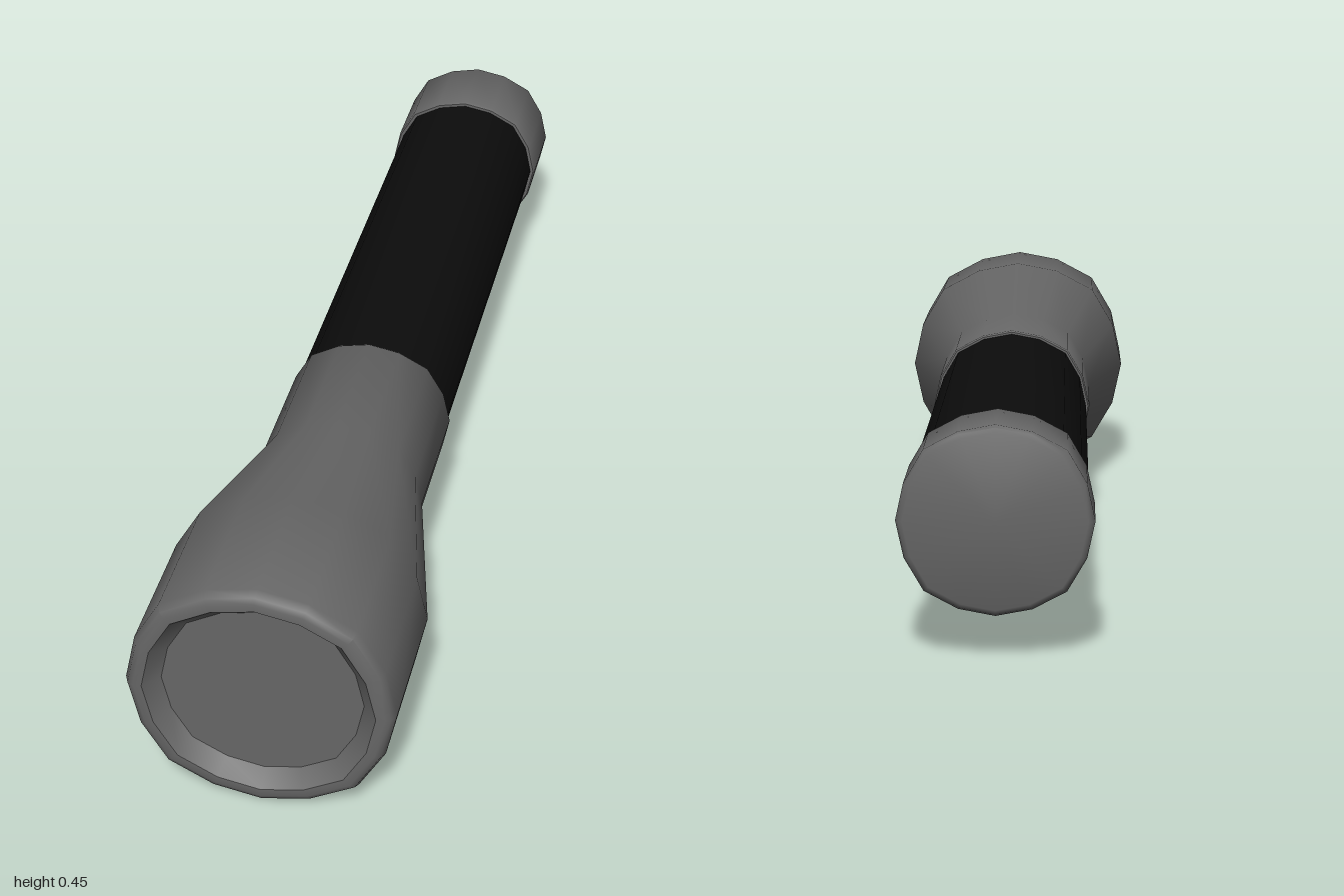
import * as THREE from 'three';
import { toCreasedNormals } from 'three/addons/utils/BufferGeometryUtils.js';

const SIDES = 16;
// Radius factors over a quarter turn, from the x axis to the y axis
const FACTORS = [1, 0.993, 1.017, 0.977, 0.974];

// Turned part lying along z; profile is [radius, z] pairs from back to front
function turned(name, profile, material) {
  const points = profile.map(([r, z]) => new THREE.Vector2(r, z));
  const geometry = new THREE.LatheGeometry(points, SIDES).rotateX(Math.PI / 2);
  const pos = geometry.attributes.position;
  for (let i = 0; i < pos.count; i++) {
    const x = pos.getX(i), y = pos.getY(i);
    const step = Math.round(Math.atan2(Math.abs(y), Math.abs(x)) / (Math.PI / 8));
    pos.setXY(i, x * FACTORS[step], y * FACTORS[step]);
  }
  const mesh = new THREE.Mesh(toCreasedNormals(geometry, 0.75), material);
  mesh.name = name;
  mesh.position.y = 0.227;
  return mesh;
}

export function createModel() {
  const group = new THREE.Group();
  group.name = 'flashlight';
  const metal = new THREE.MeshStandardMaterial({ color: 0x666666 });
  const rubber = new THREE.MeshStandardMaterial({ color: 0x0c0c0c });

  group.add(
    // Neck, flared head, bevelled rim and sloping recess
    turned('head', [
      [0.14, 0.14], [0.154, 0.14], [0.157, 0.145], [0.157, 0.41], [0.232, 0.73],
      [0.232, 0.98], [0.225, 0.995], [0.215, 1], [0.2, 1], [0.174, 0.97],
    ], metal),
    turned('lens', [[0.174, 0.97], [0, 0.97]], metal),
    turned('grip', [[0.15, -0.85], [0.15, 0.16]], rubber),
    // Closed cap with softened edges
    turned('tailCap', [
      [0, -1], [0.148, -1], [0.155, -0.997], [0.159, -0.99],
      [0.159, -0.835], [0.156, -0.83], [0.14, -0.83],
    ], metal),
  );
  return group;
}
